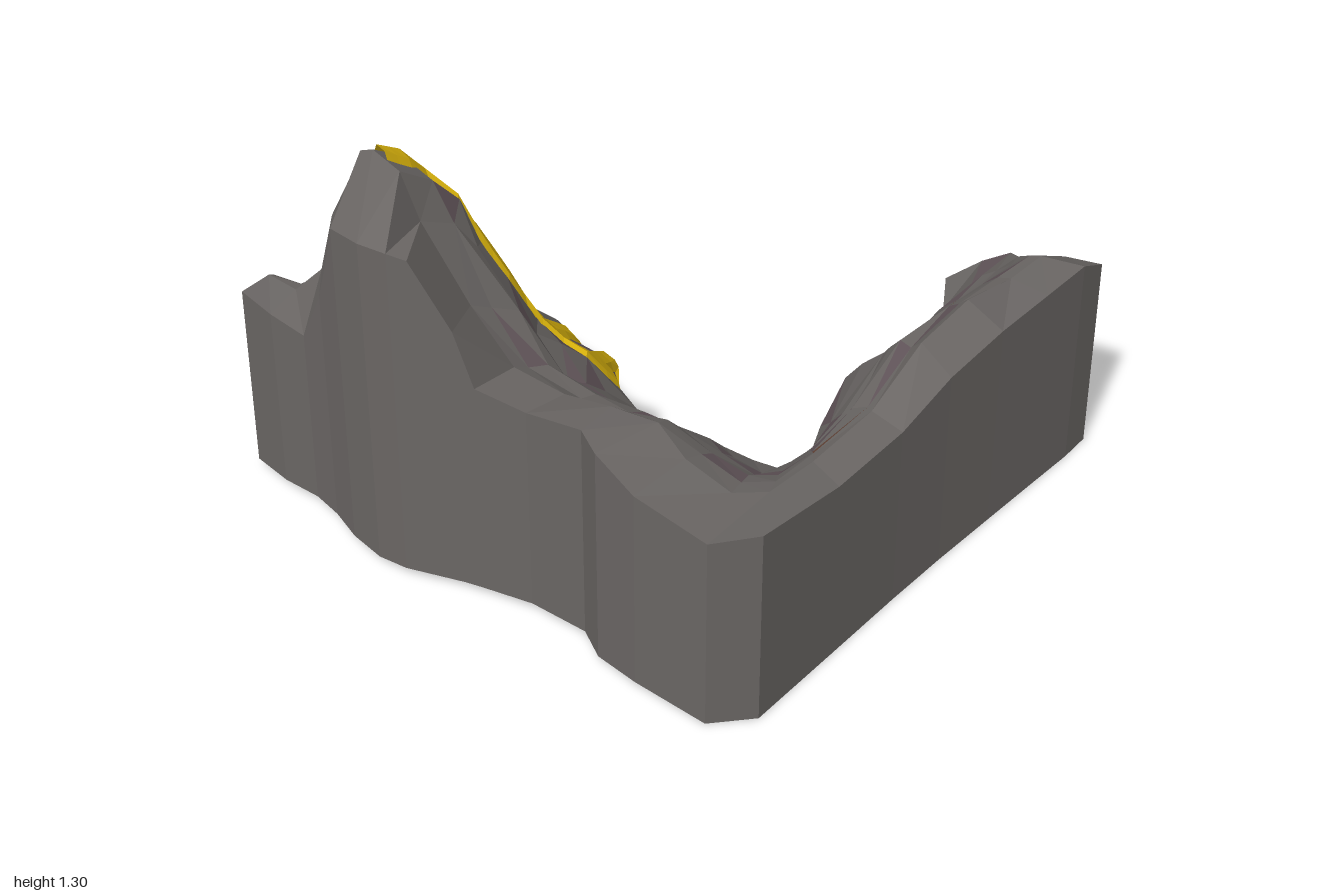
import * as THREE from 'three';

// Plan x, z and height of the three guiding lines, from the left end round the corner to the back
const wallTop = [
  -.95, .84, .64, -.8, .865, .63, -.66, .865, .61, -.55, .89, .8, -.47, .92, .98, -.43, .935, 1.09,
  -.3, .96, 1.1, -.2, .95, 1.1, -.14, .93, 1.09, -.02, .89, .89, .04, .875, .72, .2, .84, .69,
  .4, .84, .72, .5, .9, .72, .65, .92, .66, .89, .91, .61, .99, .8, .62, .985, .45, .58,
  .98, .14, .59, .98, -.1, .65, .985, -.36, .68, .99, -.6, .69, .995, -.8, .7, .99, -.92, .65];
const ridge = [
  -.96, .72, .64, -.82, .74, .65, -.72, .72, .75, -.6, .77, 1, -.49, .79, 1.17, -.43, .8, 1.28,
  -.38, .8, 1.3, -.3, .78, 1.25, -.25, .76, 1.1, -.11, .72, .86, .03, .7, .7, .2, .68, .67,
  .38, .69, .71, .54, .68, .72, .65, .7, .66, .8, .69, .61, .86, .6, .59, .86, .4, .58,
  .86, .12, .6, .86, -.12, .71, .86, -.36, .74, .86, -.6, .7, .86, -.77, .7, .86, -.92, .63];
const rim = [
  -1, .55, .44, -.89, .48, .4, -.8, .42, .4, -.75, .31, .42, -.66, .18, .42, -.5, .09, .42,
  -.34, .1, .42, -.19, .16, .42, -.07, .16, .41, .04, .25, .4, .13, .28, .38, .3, .34, .37,
  .45, .33, .37, .55, .3, .36, .61, .26, .36, .64, .22, .35, .65, .18, .35, .65, .11, .36,
  .61, .01, .38, .55, -.2, .42, .61, -.38, .43, .58, -.56, .43, .57, -.7, .43, .48, -.85, .44];

// How far across and how far down each inner row lies, on the peak and on the low ridge
const across = [.16, .3, .43, .57, .77];
const dropPeak = [.08, .19, .38, .66, .83];
const dropLow = [.08, .18, .32, .46, .66];
const endBulge = [0, .01, .03, .085, .055];

let seed = 11;
const rand = () => (seed = (seed * 16807) % 2147483647) / 2147483647;
const jitter = (a) => (rand() - .5) * 2 * a;

function mesh(name, points, color) {
  const g = new THREE.BufferGeometry().setFromPoints(points);
  g.computeVertexNormals();
  const m = new THREE.Mesh(g, new THREE.MeshStandardMaterial({ color, flatShading: true, side: THREE.DoubleSide }));
  m.name = name;
  return m;
}

const stations = (row) => Array.from({ length: row.length / 3 }, (_, i) =>
  new THREE.Vector3(row[i * 3], row[i * 3 + 2], row[i * 3 + 1]));

const quad = (list, a, b, c, d) => list.push(a, b, c, a, c, d);

// Height of the rock surface above a plan point
function heightAt(tris, x, z) {
  let best = .4;
  for (let i = 0; i < tris.length; i += 3) {
    const [a, b, c] = [tris[i], tris[i + 1], tris[i + 2]];
    const det = (b.z - c.z) * (a.x - c.x) + (c.x - b.x) * (a.z - c.z);
    if (Math.abs(det) < 1e-8) continue;
    const u = ((b.z - c.z) * (x - c.x) + (c.x - b.x) * (z - c.z)) / det;
    const v = ((c.z - a.z) * (x - c.x) + (a.x - c.x) * (z - c.z)) / det;
    if (u >= 0 && v >= 0 && u + v <= 1) best = Math.max(best, u * a.y + v * b.y + (1 - u - v) * c.y);
  }
  return best;
}

// Raised ribbon draped over the rock, ending in pointed drips; path entries are x, z, half width
function stream(tris, path) {
  const out = [], rows = [];
  for (let i = 0; i < path.length - 1; i++) {
    const [x0, z0, w0] = path[i], [x1, z1, w1] = path[i + 1];
    const len = Math.hypot(x1 - x0, z1 - z0), n = Math.max(1, Math.round(len / .05));
    const nx = -(z1 - z0) / len, nz = (x1 - x0) / len;
    for (let k = i ? 1 : 0; k <= n; k++) {
      const t = k / n, w = w0 + (w1 - w0) * t;
      rows.push([-1, -.6, .6, 1].map((s) => {
        const x = x0 + (x1 - x0) * t + nx * w * s, z = z0 + (z1 - z0) * t + nz * w * s;
        return new THREE.Vector3(x, heightAt(tris, x, z) + (Math.abs(s) < 1 ? .02 : -.004), z);
      }));
    }
  }
  const end = rows[rows.length - 1];
  rows.push(end.map((p, j) => new THREE.Vector3(p.x, j % 2 ? .16 : .26, p.z - .005)));
  for (let i = 0; i < rows.length - 1; i++)
    for (let j = 0; j < 3; j++) quad(out, rows[i][j], rows[i][j + 1], rows[i + 1][j + 1], rows[i + 1][j]);
  return out;
}

export function createModel() {
  const group = new THREE.Group();
  group.name = 'rockCorner';
  const outer = stations(wallTop), crest = stations(ridge), edge = stations(rim);
  const count = outer.length;

  // Smooth outer wall down to the base
  const wall = [];
  const foot = outer.map((p, i) => new THREE.Vector3(p.x, i < 15 ? .025 : 0, p.z));
  for (let i = 0; i < count - 1; i++) quad(wall, foot[i], foot[i + 1], outer[i + 1], outer[i]);
  group.add(mesh('outerWall', wall, 0x6a6664));

  // Rugged top and inner slope, calmer in the tight corner and bulging at the back end
  const rows = [outer, crest];
  across.forEach((t, r) => rows.push(crest.map((p, i) => {
    const drop = (i > 2 && i < 9 ? dropPeak : dropLow)[r], e = edge[i];
    const a = i === 0 || i === count - 1 ? 0 : i > 13 && i < 18 ? .005 : .014;
    const bulge = i === count - 1 ? endBulge[r] : 0;
    return new THREE.Vector3(p.x + (e.x - p.x) * t + jitter(a), p.y + (e.y - p.y) * drop + jitter(a),
      p.z + (e.z - p.z) * t + jitter(a) - bulge);
  })));
  rows.push(edge);
  const grey = [], purple = [], brown = [], surface = [];
  for (let r = 0; r < rows.length - 1; r++) {
    for (let i = 0; i < count - 1; i++) {
      const a = rows[r][i], b = rows[r][i + 1], c = rows[r + 1][i + 1], d = rows[r + 1][i];
      // Along the crest the diagonals lean away from the peak
      const rising = r === 0 ? i > 5 : rand() < .5;
      for (const tri of rising ? [[a, b, c], [a, c, d]] : [[a, b, d], [b, c, d]]) {
        surface.push(...tri);
        const k = r > 1 ? rand() : 1;
        (k < .07 ? brown : k < .28 ? purple : grey).push(...tri);
      }
    }
  }

  // Ragged skirt hanging under the peak
  for (let i = 1; i < 10; i++) {
    for (let k = 0; k < 3; k++) {
      const a = edge[i].clone().lerp(edge[i + 1], k / 3), b = edge[i].clone().lerp(edge[i + 1], (k + 1) / 3);
      const low = (p, j) => new THREE.Vector3(p.x, (j > 26 ? .26 : .14) + (j % 2 ? .05 : 0), p.z + .01);
      quad(k === 1 ? purple : grey, low(a, i * 3 + k), low(b, i * 3 + k + 1), b, a);
    }
  }
  // Loose shard beside the peak
  grey.push(new THREE.Vector3(-.97, .36, .46), new THREE.Vector3(-.9, .13, .51), new THREE.Vector3(-.77, .18, .28));
  group.add(mesh('rockSlope', grey, 0x6a6664), mesh('darkRockFaces', purple, 0x62555a),
    mesh('brownRockFaces', brown, 0x6b4a3c));

  // Golden streams running down the peak
  const gold = [
    [[-.37, .78, .03], [-.36, .7, .035], [-.38, .6, .06], [-.43, .51, .06], [-.44, .4, .055],
      [-.51, .28, .07], [-.51, .18, .09], [-.53, .115, .1]],
    [[-.44, .54, .035], [-.58, .5, .03], [-.67, .43, .04], [-.72, .33, .05]],
    [[-.52, .25, .06], [-.62, .19, .05]],
    [[-.37, .63, .04], [-.28, .57, .03], [-.18, .48, .035], [-.16, .38, .04], [-.2, .27, .055], [-.23, .155, .04]],
    [[-.17, .44, .025], [-.07, .37, .025], [0, .34, .035], [.02, .25, .03]],
    [[0, .31, .03], [-.07, .17, .03]],
  ].flatMap((path) => stream(surface, path));
  group.add(mesh('goldenStreams', gold, 0xd6b00c));
  return group;
}
